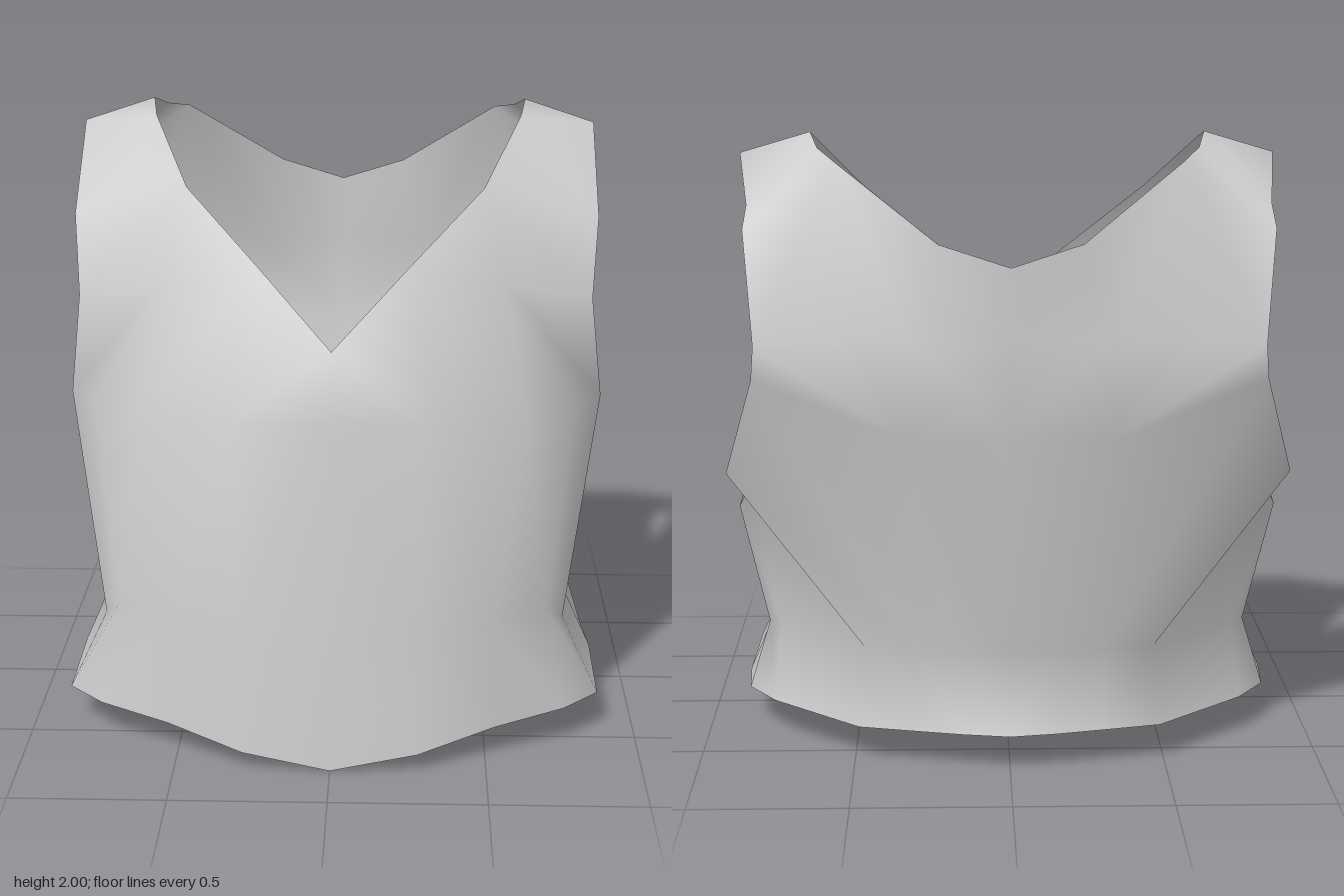
import * as THREE from 'three';
import { mergeVertices } from 'three/addons/utils/BufferGeometryUtils.js';

// Half of the garment as rows of [x, y, z], running from front centre to back centre
const hem = [
  [0, 0, .78], [.28, .06, .78], [.53, .1, .65], [.76, .12, .54], [.88, .12, .41], [.885, .12, 0],
  [.87, .12, -.2], [.775, .12, -.345], [.485, .12, -.61], [.3, .12, -.655], [.15, .12, -.69], [0, .12, -.715],
];
const waist = [
  [0, .45, .735], [.29, .45, .73], [.52, .45, .62], [.7, .45, .49], [.76, .37, .36], [.79, .34, .05],
  [.8, .35, -.19], [.755, .36, -.26], [.46, .37, -.57], [.3, .37, -.59], [.15, .37, -.605], [0, .37, -.615],
];
const frontChest = [[0, 1.12, .655], [.31, 1.12, .645], [.62, 1.1, .5], [.79, 1.09, .3], [.88, 1.08, .16]];
const underarm = [[.86, .9, .08], [.88, .78, -.31], [.83, .89, -.4], [.905, .93, -.48]];
const backChest = [[.8, 1.27, -.68], [.33, 1.1, -.765], [0, 1.1, -.78]];

// Neck edge, arm edge and inner points of the upper panels
const neckV = [0, 1.335, .585];
const neckMid = [.24, 1.56, .39];
const neckFront = [.48, 1.78, .2];
const neckBack = [.54, 1.93, -.56];
const armFront = [.84, 1.42, .2];
const armUpper = [.86, 1.67, .1];
const armBack = [.82, 1.73, -.63];
const breast = [.55, 1.5, .37];
const shoulderBlade = [[.79, 1.38, -.7], [.3, 1.4, -.775], [0, 1.4, -.783]];

// Stitch a lower row to an upper row; the rows may differ in length
function bridge(out, a, b) {
  let i = 0, j = 0;
  const m = a.length - 1, n = b.length - 1;
  while (i < m || j < n) {
    if (j === n || (i < m && (i + 1) / m <= (j + 1) / n)) {
      out.push([a[i], a[i + 1], b[j]]);
      i++;
    } else {
      out.push([a[i], b[j + 1], b[j]]);
      j++;
    }
  }
}

// Stitch two rows of equal length column by column
function grid(out, a, b) {
  for (let i = 0; i < a.length - 1; i++) bridge(out, [a[i], a[i + 1]], [b[i], b[i + 1]]);
}

export function createModel() {
  const group = new THREE.Group();
  group.name = 'vest';
  const tris = [];

  // Flared hem and body up to the armholes
  grid(tris, hem, waist);
  grid(tris, waist, [...frontChest, ...underarm, ...backChest]);

  // Front panel with V neck
  bridge(tris, frontChest, [neckV, neckMid, breast, armFront]);
  bridge(tris, [neckMid, breast, armFront], [neckFront, armUpper]);

  // Shoulder strap
  bridge(tris,
    [armUpper, [.86, 1.93, -.22], [.81, 1.8, -.58], armBack],
    [neckFront, [.61, 1.96, -.14], [.63, 2, -.27], [.6, 1.96, -.41], neckBack]);

  // Back panel with scooped neck
  bridge(tris, backChest, shoulderBlade);
  bridge(tris, shoulderBlade, [armBack, neckBack, [.22, 1.7, -.77], [0, 1.63, -.783]]);

  // Mirror the half and weld it into one smooth cloth
  const pos = [];
  for (const [a, b, c] of tris) {
    pos.push(...a, ...b, ...c);
    for (const [x, y, z] of [a, c, b]) pos.push(x === 0 ? 0 : -x, y, z);
  }
  let geometry = new THREE.BufferGeometry();
  geometry.setAttribute('position', new THREE.Float32BufferAttribute(pos, 3));
  geometry = mergeVertices(geometry, 1e-4);
  geometry.computeVertexNormals();

  const cloth = new THREE.MeshStandardMaterial({ color: 0xcccccc, side: THREE.DoubleSide });
  cloth.name = 'light grey cloth';
  const mesh = new THREE.Mesh(geometry, cloth);
  mesh.name = 'vestCloth';
  group.add(mesh);
  return group;
}
